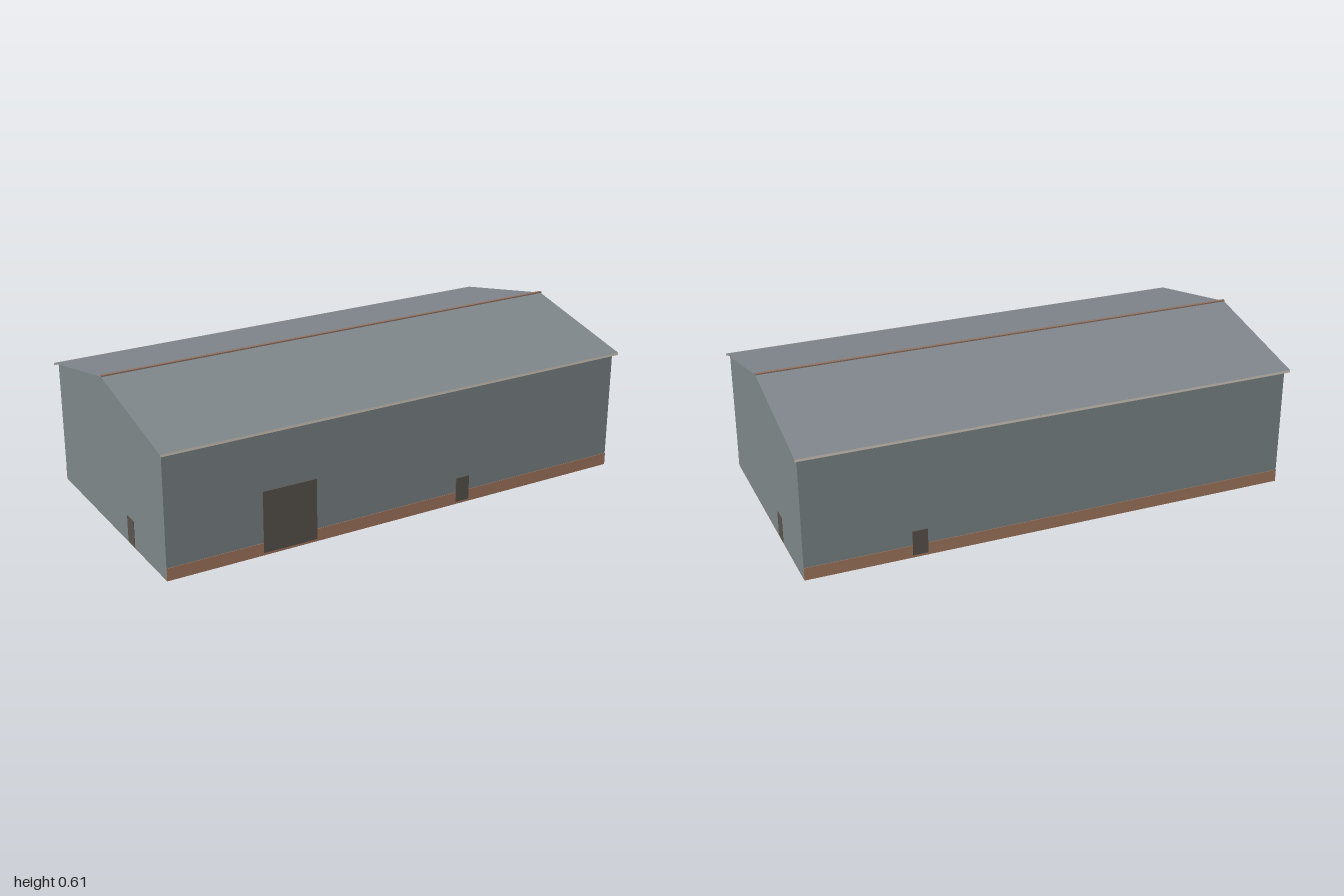
import * as THREE from 'three';

export function createModel() {
  const mat = (name, color, double) => {
    const m = new THREE.MeshStandardMaterial({ color });
    m.name = name;
    if (double) m.side = THREE.DoubleSide;
    return m;
  };
  const cladding = mat('grey cladding', 0x7e878a);
  const roofing = mat('blue grey roofing', 0x7f868b, true);
  const brick = mat('brick', 0xa5795f);
  const doorBrown = mat('dark door brown', 0x5b544d);
  const concrete = mat('concrete', 0x837d6f);
  const ridgeBrown = mat('ridge brown', 0x8f7262);
  const pale = mat('pale gutter', 0xd9cfc0, true);

  const group = new THREE.Group();
  const add = (name, geometry, material, x = 0, y = 0, z = 0) => {
    const mesh = new THREE.Mesh(geometry, material);
    mesh.name = name;
    mesh.position.set(x, y, z);
    group.add(mesh);
    return mesh;
  };
  const box = (name, w, h, d, material, x, y, z) =>
    add(name, new THREE.BoxGeometry(w, h, d), material, x, y, z);

  const halfX = 0.988, halfZ = 0.494, eaves = 0.5, ridge = 0.606;

  // Hall walls with gable ends, extruded along x
  const section = new THREE.Shape([
    new THREE.Vector2(-halfZ, 0.002), new THREE.Vector2(halfZ, 0.002),
    new THREE.Vector2(halfZ, eaves), new THREE.Vector2(0, ridge), new THREE.Vector2(-halfZ, eaves),
  ]);
  const hall = new THREE.ExtrudeGeometry(section, { depth: 2 * halfX, bevelEnabled: false });
  hall.translate(0, 0, -halfX);
  hall.rotateY(Math.PI / 2);
  add('walls', hall, cladding);

  // Floor slab
  box('floor', 2 * halfX, 0.004, 2 * halfZ, concrete, 0, 0.002, 0);

  // Roof sheets, gutter boards and brick plinths on both long sides
  const overhang = 0.515, rise = 0.112;
  for (const side of [1, -1]) {
    const slope = new THREE.PlaneGeometry(2, Math.hypot(overhang, rise));
    slope.rotateX(-Math.PI / 2);
    const sheet = add('roofSlope', slope, roofing, 0, 0.608 - rise / 2, side * overhang / 2);
    sheet.rotation.x = side * Math.atan2(rise, overhang);
    const gutter = add('gutter', new THREE.PlaneGeometry(2, 0.01), pale, 0, 0.4915, side * 0.516);
    gutter.rotation.y = side > 0 ? 0 : Math.PI;
    box('plinth', 2 * halfX, 0.05, 0.004, brick, 0, 0.025, side * halfZ);
  }

  // Ridge cap
  box('ridgeCap', 2, 0.005, 0.013, ridgeBrown, 0, 0.6115, 0);

  // Doors as thin plates: front, back and both gable ends
  const t = 0.005, doorZ = halfZ + 0.001;
  box('largeDoor', 0.222, 0.245, t, doorBrown, -0.494, 0.1325, doorZ);
  box('frontDoor', 0.06, 0.1, t, doorBrown, 0.268, 0.06, doorZ);
  box('backDoor', 0.06, 0.1, t, doorBrown, 0.545, 0.06, -doorZ);
  for (const side of [1, -1]) {
    box('endDoor', 0.003, 0.105, 0.06, doorBrown, side * halfX, 0.0575, side * -0.18);
  }
  return group;
}
